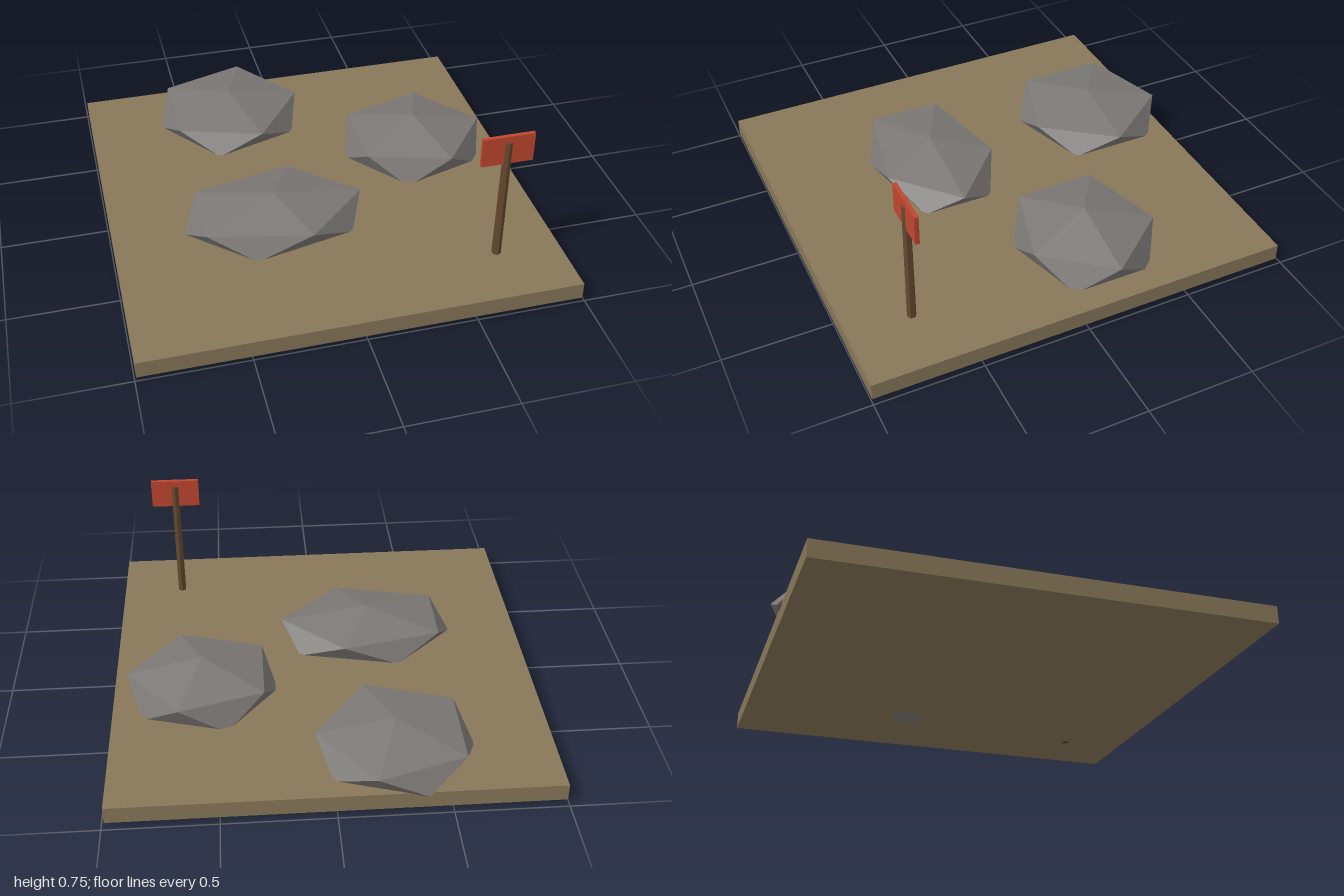
import * as THREE from 'three';
import { ConvexGeometry } from 'three/addons/geometries/ConvexGeometry.js';

function material(name, color) {
  const m = new THREE.MeshStandardMaterial({ color, flatShading: true });
  m.name = name;
  return m;
}

// Twenty-sided boulder: two poles and two staggered rings of five corners
function boulderGeometry() {
  const points = [new THREE.Vector3(0, 1, 0), new THREE.Vector3(0, -1, 0)];
  const level = 1 / Math.sqrt(5);
  for (let i = 0; i < 5; i++) {
    const a = (i * Math.PI * 2) / 5;
    const x = Math.cos(a) * level * 2, z = Math.sin(a) * level * 2;
    points.push(new THREE.Vector3(x, level, z), new THREE.Vector3(-x, -level, -z));
  }
  return new ConvexGeometry(points);
}

export function createModel() {
  const group = new THREE.Group();
  group.name = 'rockyGround';

  const soil = material('soil', 0x877759);
  const stone = material('stone', 0x7a7774);
  const wood = material('wood', 0x64482f);
  const red = material('signRed', 0xbf452f);

  const add = (name, geometry, mat, x, y, z) => {
    const mesh = new THREE.Mesh(geometry, mat);
    mesh.name = name;
    mesh.position.set(x, y, z);
    group.add(mesh);
    return mesh;
  };

  // Ground slab
  add('ground', new THREE.BoxGeometry(1.98, 0.08, 1.98), soil, -0.003, 0.061, 0.01);

  // Flattened boulders sunk into the slab: position and half sizes
  const boulder = boulderGeometry();
  [
    ['backBoulder', -0.28, -0.667, 0.398, 0.116, 0.391],
    ['frontBoulder', -0.242, 0.227, 0.471, 0.116, 0.321],
    ['sideBoulder', 0.57, -0.19, 0.392, 0.145, 0.357],
  ].forEach(([name, x, z, sx, sy, sz]) => {
    add(name, boulder, stone, x, 0.145, z).scale.set(sx, sy, sz);
  });

  // Signpost: six-sided tapered pole through a thin board
  add('signPost', new THREE.CylinderGeometry(0.019, 0.022, 0.695, 6), wood, 0.688, 0.3675, 0.703);
  add('signBoard', new THREE.BoxGeometry(0.236, 0.14, 0.019), red, 0.688, 0.676, 0.703);

  return group;
}
